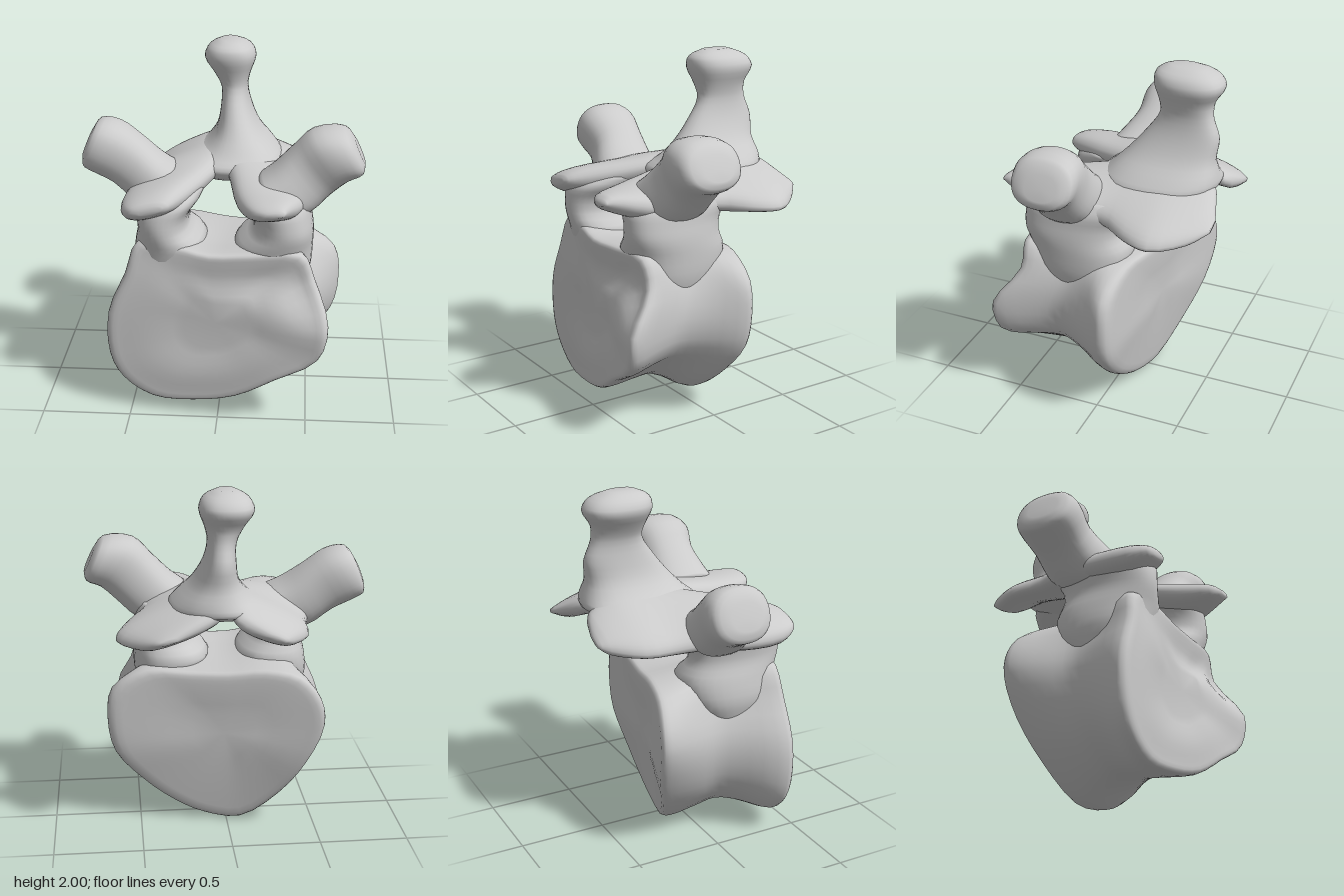
import * as THREE from 'three';

const V = (x, y, z) => new THREE.Vector3(x, y, z);
const material = new THREE.MeshStandardMaterial({ color: 0xcccccc });

// Smooth closed skin through a list of rings (same number of points in each)
function loft(name, rings, around = 36, steps = 3) {
  const fine = rings.map(r => new THREE.CatmullRomCurve3(r, true).getPoints(around).slice(0, around));
  const rows = (rings.length - 1) * steps + 1;
  const pos = [], index = [];
  const columns = Array.from({ length: around }, (_, j) =>
    new THREE.CatmullRomCurve3(fine.map(r => r[j])).getPoints(rows - 1));
  for (let i = 0; i < rows; i++) for (let j = 0; j < around; j++) pos.push(...columns[j][i].toArray());
  for (const r of [fine[0], fine[fine.length - 1]]) {
    const c = r.reduce((s, p) => s.add(p), V(0, 0, 0)).divideScalar(around);
    pos.push(...c.toArray());
  }
  const start = rows * around, last = (rows - 1) * around;
  for (let j = 0; j < around; j++) {
    const k = (j + 1) % around;
    for (let i = 0; i < rows - 1; i++) {
      const a = i * around + j, b = i * around + k;
      index.push(a, b, b + around, a, b + around, a + around);
    }
    index.push(start, k, j, start + 1, last + j, last + k);
  }
  // Turn the faces outwards if the enclosed volume is negative
  const at = i => V(pos[3 * i], pos[3 * i + 1], pos[3 * i + 2]);
  let volume = 0;
  for (let t = 0; t < index.length; t += 3)
    volume += at(index[t]).dot(at(index[t + 1]).cross(at(index[t + 2])));
  if (volume < 0) index.reverse();
  const geo = new THREE.BufferGeometry();
  geo.setAttribute('position', new THREE.Float32BufferAttribute(pos, 3));
  geo.setIndex(index);
  geo.computeVertexNormals();
  const mesh = new THREE.Mesh(geo, material);
  mesh.name = name;
  return mesh;
}

// Slightly squared ellipse around c with half axes u and v
function ring(c, u, v, n = 12) {
  const q = a => Math.sign(a) * Math.pow(Math.abs(a), 0.85);
  return Array.from({ length: n }, (_, i) => {
    const t = (i / n) * Math.PI * 2;
    return c.clone().addScaledVector(u, q(Math.cos(t))).addScaledVector(v, q(Math.sin(t)));
  });
}

// Plate sections: z, inner x y, outer x y, thickness
const plate = (name, list) => loft(name, list.map(([z, x0, y0, x1, y1, t]) => {
  const u = V((x1 - x0) / 2, (y1 - y0) / 2, 0);
  const v = V(-u.y, u.x, 0).setLength(t / 2);
  return ring(V((x0 + x1) / 2, (y0 + y1) / 2, z), u, v);
}));

// Upright sections: y, inner x, outer x, back z, front z
const column = (name, list) => loft(name, list.map(([y, x0, x1, z0, z1]) =>
  ring(V((x0 + x1) / 2, y, (z0 + z1) / 2), V((x1 - x0) / 2, 0, 0), V(0, 0, (z1 - z0) / 2))));

// Sideways sections: lower x y, upper x y, z centre, half depth
const arm = (name, list) => loft(name, list.map(([x0, y0, x1, y1, z, rz]) =>
  ring(V((x0 + x1) / 2, (y0 + y1) / 2, z), V((x1 - x0) / 2, (y1 - y0) / 2, 0), V(0, 0, rz))));

function body() {
  const front = [[0.2, 1], [0.46, 1], [0.53, 0.85], [0.61, 0.63], [0.56, 0.43], [0.33, 0.28], [0.1, 0.14],
    [-0.15, 0.08], [-0.38, 0.08], [-0.55, 0.19], [-0.62, 0.34], [-0.62, 0.6], [-0.52, 0.84], [-0.45, 1.02],
    [-0.25, 1.03], [-0.05, 0.99]];
  const back = [[0.22, 0.95], [0.46, 0.95], [0.65, 0.83], [0.68, 0.64], [0.64, 0.44], [0.48, 0.25], [0.3, 0.11],
    [0.13, 0.03], [-0.08, 0.01], [-0.3, 0.19], [-0.45, 0.42], [-0.54, 0.65], [-0.52, 0.8], [-0.41, 0.93],
    [-0.22, 0.97], [0, 0.95]];
  // Tilted front plane that steps back near the top
  const zf = (x, y) => Math.min(0.51 + 0.15 * x - 0.1 * Math.max(0, 0.3 - y) - 0.15 * Math.max(0, y - 0.7),
    0.45 + Math.max(0, 0.8 - y));
  const zb = (x, y) => -0.26 + 0.19 * x + 0.25 * Math.max(0, 0.5 - y) + 0.1 * Math.max(0, y - 0.8);
  // Scaled end outline, pushed off its tilted plane by dz
  const end = (list, f, s, dz) => list.map(([x, y]) => {
    const X = x * s, Y = 0.58 + (y - 0.58) * s;
    return V(X, Y, f(X, Y) + dz);
  });
  // Narrower waist between the two ends
  const waist = (k, s) => front.map(([x, y], i) => {
    const X = THREE.MathUtils.lerp(x, back[i][0], k), Y = THREE.MathUtils.lerp(y, back[i][1], k);
    return V(X * s, 0.6 + (Y - 0.6) * (Y > 0.6 ? 1 : s ** 0.7),
      THREE.MathUtils.lerp(zf(x, y), zb(back[i][0], back[i][1]), k));
  });
  return loft('vertebralBody', [
    end(front, zf, 0.3, -0.04), end(front, zf, 0.6, -0.01), end(front, zf, 0.85, 0), end(front, zf, 0.97, 0),
    end(front, zf, 1, -0.04), waist(0.3, 0.88), waist(0.5, 0.82), waist(0.7, 0.89),
    end(back, zb, 1, 0.05), end(back, zb, 0.97, 0), end(back, zb, 0.8, 0), end(back, zb, 0.3, 0.03),
  ], 48);
}

export function createModel() {
  const model = new THREE.Group();
  model.name = 'vertebra';
  model.add(body());

  // Bridges flaring into the body below and the arch above
  model.add(column('rightPedicle', [
    [0.72, -0.2, -0.45, 0, 0.3], [0.85, -0.14, -0.49, -0.1, 0.4], [0.98, -0.08, -0.48, -0.14, 0.44],
    [1.08, -0.17, -0.46, -0.09, 0.46], [1.16, -0.17, -0.47, -0.1, 0.46], [1.24, -0.11, -0.49, -0.16, 0.44],
    [1.3, -0.08, -0.46, -0.16, 0.34]]));
  model.add(column('leftPedicle', [
    [0.72, 0.2, 0.47, 0, 0.32], [0.85, 0.15, 0.51, -0.1, 0.41], [0.98, 0.08, 0.52, -0.14, 0.45],
    [1.08, 0.18, 0.52, -0.09, 0.47], [1.16, 0.18, 0.51, -0.1, 0.47], [1.24, 0.13, 0.5, -0.16, 0.46],
    [1.3, 0.1, 0.46, -0.16, 0.38]]));

  // Long sloping plates with the joint surfaces at front and back
  model.add(plate('rightLamina', [
    [0.5, -0.3, 1.27, -0.42, 1.24, 0.03], [0.48, -0.26, 1.28, -0.48, 1.23, 0.08],
    [0.38, -0.19, 1.3, -0.53, 1.2, 0.15], [0.15, -0.06, 1.34, -0.53, 1.2, 0.17],
    [0, 0, 1.37, -0.5, 1.22, 0.17], [-0.2, 0.04, 1.41, -0.44, 1.2, 0.15],
    [-0.4, 0.04, 1.42, -0.42, 1.2, 0.13], [-0.56, -0.02, 1.34, -0.32, 1.22, 0.1],
    [-0.61, -0.16, 1.28, -0.27, 1.24, 0.03]]));
  model.add(plate('leftLamina', [
    [0.615, 0.26, 1.29, 0.36, 1.3, 0.03], [0.57, 0.18, 1.28, 0.38, 1.3, 0.09],
    [0.4, 0.1, 1.28, 0.45, 1.26, 0.16], [0.15, 0.05, 1.33, 0.49, 1.23, 0.17],
    [-0.03, 0.01, 1.37, 0.48, 1.22, 0.17], [-0.2, -0.02, 1.42, 0.58, 1.2, 0.14],
    [-0.35, -0.02, 1.42, 0.62, 1.19, 0.13], [-0.52, 0.06, 1.37, 0.5, 1.2, 0.11],
    [-0.615, 0.3, 1.27, 0.4, 1.24, 0.03]]));

  // Side processes: blunt arms rising outwards from a broad root
  model.add(arm('rightTransverseProcess', [
    [-0.38, 1.15, -0.23, 1.36, 0.07, 0.2], [-0.48, 1.15, -0.34, 1.42, 0.04, 0.19],
    [-0.62, 1.25, -0.46, 1.51, 0, 0.165], [-0.75, 1.315, -0.58, 1.59, -0.01, 0.18],
    [-0.79, 1.34, -0.69, 1.605, -0.01, 0.16], [-0.795, 1.4, -0.74, 1.54, 0, 0.09]]));
  model.add(arm('leftTransverseProcess', [
    [0.38, 1.15, 0.2, 1.36, 0.21, 0.2], [0.5, 1.18, 0.29, 1.43, 0.2, 0.19],
    [0.61, 1.28, 0.4, 1.54, 0.19, 0.165], [0.7, 1.36, 0.5, 1.635, 0.2, 0.18],
    [0.78, 1.4, 0.67, 1.645, 0.19, 0.17], [0.79, 1.45, 0.73, 1.58, 0.18, 0.09]]));

  // Rear crest spreading into the arch roof, with a swollen tip
  model.add(column('spinousProcess', [
    [1.29, -0.12, 0.16, -0.35, 0.09], [1.35, -0.23, 0.33, -0.55, 0.12], [1.41, -0.13, 0.29, -0.55, 0.06],
    [1.5, -0.055, 0.205, -0.53, -0.03], [1.62, -0.03, 0.145, -0.54, -0.13], [1.73, -0.03, 0.125, -0.5, -0.2],
    [1.81, -0.07, 0.14, -0.5, -0.19], [1.9, -0.126, 0.17, -0.55, -0.16], [1.96, -0.1, 0.145, -0.51, -0.17],
    [2, -0.03, 0.07, -0.41, -0.25]]));
  return model;
}
